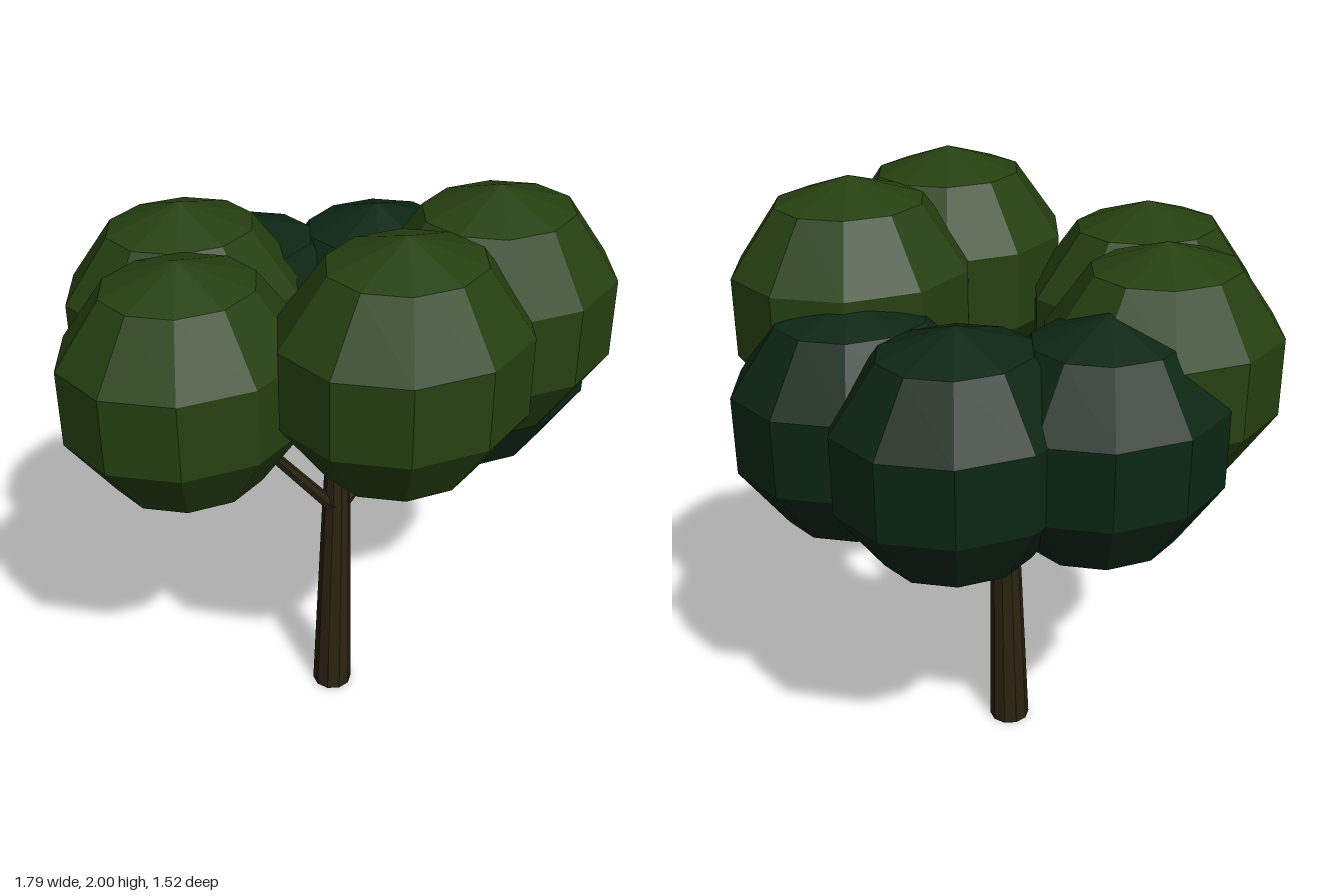
import * as THREE from 'three';

const material = (name, color) => {
  const m = new THREE.MeshStandardMaterial({ color });
  m.name = name;
  m.flatShading = true;
  return m;
};

// Tapered round limb between two points
function limb(name, from, to, r0, r1, sides, mat) {
  const a = new THREE.Vector3(...from), b = new THREE.Vector3(...to);
  const dir = b.clone().sub(a);
  const mesh = new THREE.Mesh(new THREE.CylinderGeometry(r1, r0, dir.length(), sides), mat);
  mesh.position.copy(a).add(b).multiplyScalar(0.5);
  mesh.quaternion.setFromUnitVectors(new THREE.Vector3(0, 1, 0), dir.normalize());
  mesh.name = name;
  return mesh;
}

export function createModel() {
  const tree = new THREE.Group();
  tree.name = 'tree';
  const bark = material('bark brown', 0x2a2311);
  const light = material('light leaf green', 0x254010);
  const dark = material('dark leaf green', 0x0c2613);

  // Trunk, leaning slightly, in two tapering lengths
  tree.add(limb('lowerTrunk', [-0.007, 0, -0.005], [0.01, 0.82, -0.005], 0.07, 0.048, 10, bark));
  tree.add(limb('upperTrunk', [0.01, 0.81, -0.005], [0.014, 1.18, -0.01], 0.048, 0.03, 10, bark));

  // Branches reaching toward the leaf clumps
  const branches = [
    [[0, 0.79, 0], [-0.28, 1.15, 0.03]],
    [[0.02, 0.79, 0], [0.24, 1.04, -0.01]],
    [[0.01, 0.97, 0], [-0.18, 1.21, -0.13]],
    [[0.01, 0.97, 0], [0.15, 1.22, -0.16]],
    [[0.012, 1.0, 0], [0.02, 1.26, 0.17]],
    [[0.012, 0.97, 0], [0.2, 1.27, 0.08]],
    [[0.012, 0.97, 0], [-0.06, 1.2, -0.2]],
  ];
  for (const [from, to] of branches) tree.add(limb('branch', from, to, 0.024, 0.018, 7, bark));

  // Faceted leaf clumps, flattened a little from front to back
  const clump = new THREE.SphereGeometry(1, 10, 5);
  const clumps = [
    [0.035, 1.59, 0.437, light],
    [0.43, 1.59, 0.23, light],
    [-0.515, 1.45, 0.067, light],
    [-0.39, 1.45, -0.315, light],
    [0.507, 1.305, -0.008, dark],
    [0.303, 1.305, -0.366, dark],
    [-0.145, 1.305, -0.44, dark],
  ];
  for (const [x, y, z, mat] of clumps) {
    const mesh = new THREE.Mesh(clump, mat);
    mesh.name = 'leafClump';
    mesh.position.set(x, y, z);
    mesh.scale.set(0.406, 0.41, 0.353);
    tree.add(mesh);
  }
  return tree;
}
